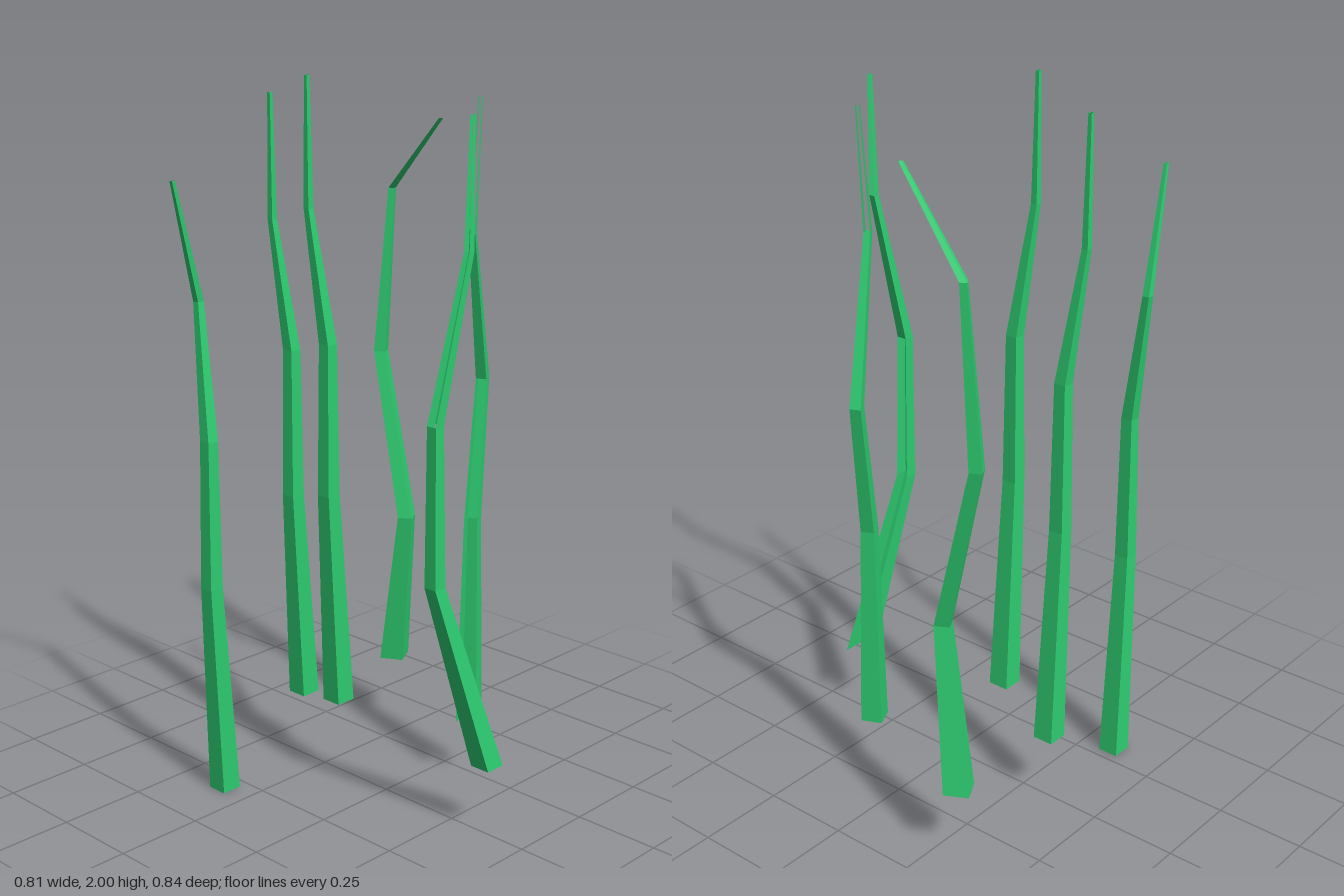
import * as THREE from 'three';

const green = new THREE.MeshStandardMaterial({
  color: 0x2ecc71, flatShading: true, side: THREE.DoubleSide,
});

// Sides of the square cross-section
const BACK = 0, FRONT = 2;

// Open four-sided tapering stalk. Each ring is [x, y, z, width];
// gaps[segment] lists the sides left open on that segment.
function stalk(name, rings, turn = 0, gaps = []) {
  const corners = [[-1, -1], [1, -1], [1, 1], [-1, 1]];
  const c = Math.cos(turn), s = Math.sin(turn);
  const loops = rings.map(([x, y, z, w]) => corners.map(([u, v]) => [
    x + (u * c + v * s) * w / 2, y, z + (v * c - u * s) * w / 2,
  ]));
  const points = [];
  for (let k = 0; k < rings.length - 1; k++) {
    const low = loops[k], high = loops[k + 1];
    for (let i = 0; i < 4; i++) {
      if (gaps[k]?.includes(i)) continue;
      const j = (i + 1) % 4;
      points.push(low[j], low[i], high[i], low[j], high[i], high[j]);
    }
  }
  const geometry = new THREE.BufferGeometry();
  geometry.setAttribute('position', new THREE.Float32BufferAttribute(points.flat(), 3));
  geometry.computeVertexNormals();
  const mesh = new THREE.Mesh(geometry, green);
  mesh.name = name;
  return mesh;
}

export function createModel() {
  const group = new THREE.Group();
  group.name = 'grassStalks';

  // Short stalk at the front, its tip bent forward
  group.add(stalk('frontStalk', [
    [-0.345, 0, 0.307, 0.06], [-0.33, 0.62, 0.347, 0.042], [-0.327, 1.04, 0.345, 0.034],
    [-0.383, 1.41, 0.32, 0.02], [-0.356, 1.74, 0.418, 0.01],
  ]));

  // Two matching upright stalks
  const upright = [
    [0, 0, 0, 0.06], [0.012, 0.62, 0.043, 0.042], [0.013, 1.04, 0.042, 0.034],
    [-0.028, 1.4, 0.068, 0.018], [-0.028, 1.74, 0.069, 0.01],
  ];
  [['centreStalk', -0.13, 0.26, 0.06], ['sideStalk', -0.34, 0.2, -0.005]].forEach(([name, x, y, z]) =>
    group.add(stalk(name, upright.map((r) => [r[0] + x, r[1] + y, r[2] + z, r[3]]))));

  // Stalk on the left, bowed forward, partly open
  group.add(stalk('leftStalk', [
    [0.37, 0.2, -0.004, 0.06], [0.322, 0.74, 0.157, 0.038], [0.322, 1.17, 0.16, 0.03],
    [0.345, 1.6, 0.067, 0.018], [0.345, 1.93, 0.06, 0.009],
  ], 0, [[BACK], [BACK], [FRONT], [FRONT, BACK]]));

  // Stalk at the back left, turned and partly open
  group.add(stalk('backLeftStalk', [
    [0.117, 0.18, -0.22, 0.06], [0.113, 0.78, -0.228, 0.038], [0.08, 1.17, -0.3, 0.03],
    [0.14, 1.6, -0.18, 0.018], [0.11, 1.94, -0.24, 0.009],
  ], 0.43, [[FRONT], [FRONT], [], [FRONT, BACK]]));

  // Crooked stalk at the back, its tip bent sideways
  group.add(stalk('backStalk', [
    [-0.318, 0.21, -0.368, 0.07], [-0.25, 0.68, -0.348, 0.042], [-0.383, 1.16, -0.378, 0.034],
    [-0.364, 1.64, -0.405, 0.018], [-0.112, 1.86, -0.332, 0.01],
  ], 0.5));

  return group;
}
